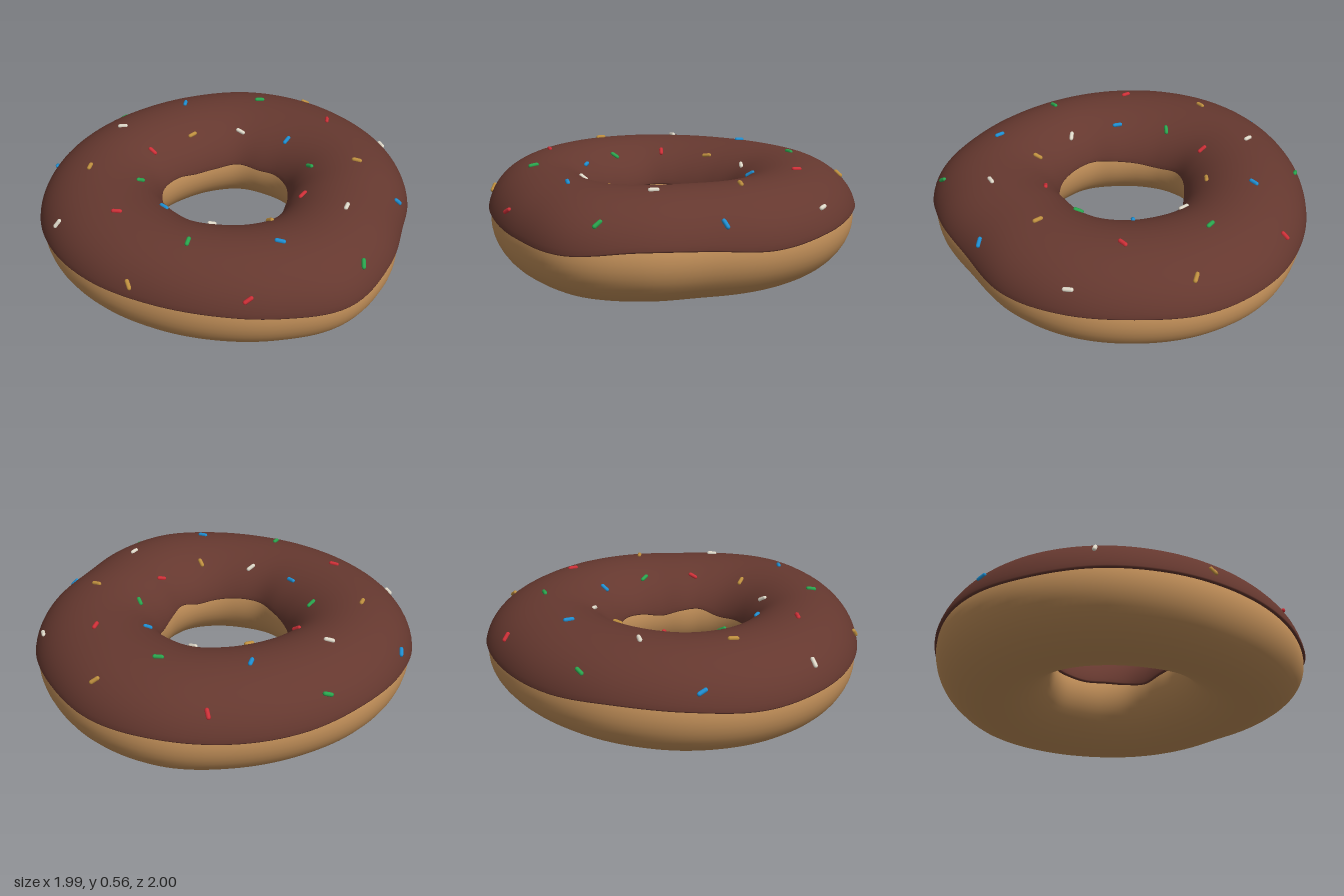
import * as THREE from 'three';

// Ring radii and icing edge heights, one value every 20 degrees from +x towards +z
const OUTER = [0.995, 0.965, 0.93, 0.975, 1.01, 0.965, 0.935, 0.935, 0.965,
  1.0, 1.02, 1.015, 1.005, 1.0, 1.015, 1.045, 1.04, 1.015];
const INNER = [0.33, 0.305, 0.29, 0.305, 0.325, 0.335, 0.337, 0.345, 0.33,
  0.337, 0.36, 0.375, 0.355, 0.345, 0.352, 0.362, 0.345, 0.34];
const EDGE = [0.305, 0.285, 0.31, 0.322, 0.29, 0.3, 0.312, 0.314, 0.308,
  0.3, 0.29, 0.312, 0.318, 0.295, 0.295, 0.312, 0.305, 0.317];
const TAU = Math.PI * 2;
const ICING = { y: 0.27, b: 0.275 };
const DOUGH = { y: 0.263, b: 0.263 };

// Smooth periodic lookup (Catmull-Rom)
function sample(table, theta) {
  const n = table.length;
  const s = (((theta / TAU) % 1) + 1) % 1 * n;
  const i = Math.floor(s), t = s - i;
  const [p, q, r, w] = [-1, 0, 1, 2].map((k) => table[(i + k + n) % n]);
  return q + 0.5 * t * (r - p + t * (2 * p - 5 * q + 4 * r - w + t * (3 * (q - r) + w - p)));
}

function ringPoint(theta, phi, body, off) {
  const ro = sample(OUTER, theta), ri = sample(INNER, theta);
  const rho = (ro + ri) / 2 + ((ro - ri) / 2 + off) * Math.cos(phi);
  const y = body.y + (body.b + (body === ICING ? off : 0)) * Math.sin(phi);
  return [rho * Math.cos(theta), y, rho * Math.sin(theta)];
}

// Sweeps a cross-section around the ring; section(theta) returns a list of points
function sweep(section, closed) {
  const N = 144, pos = [], index = [];
  let m = 0;
  for (let i = 0; i < N; i++) {
    const pts = section((i / N) * TAU);
    m = pts.length;
    pts.forEach((p) => pos.push(...p));
  }
  for (let i = 0; i < N; i++) {
    for (let j = 0; j < (closed ? m : m - 1); j++) {
      const a = i * m + j, b = i * m + (j + 1) % m;
      const c = ((i + 1) % N) * m + j, d = ((i + 1) % N) * m + (j + 1) % m;
      index.push(a, b, c, b, d, c);
    }
  }
  const g = new THREE.BufferGeometry();
  g.setAttribute('position', new THREE.Float32BufferAttribute(pos, 3));
  g.setIndex(index);
  g.computeVertexNormals();
  return g;
}

function doughSection(theta) {
  const pts = [];
  for (let j = 0; j < 48; j++) pts.push(ringPoint(theta, (j / 48) * TAU, DOUGH, -0.015));
  return pts;
}

// Icing cap with a rounded lip tucked into the dough on both sides
function icingSection(theta) {
  const phi0 = Math.asin((sample(EDGE, theta) - ICING.y) / ICING.b);
  const phi1 = Math.PI - phi0;
  const lip = [[0.02, -0.028], [0, -0.012], [0.005, -0.004], [0.03, 0]];
  const pts = lip.map(([d, off]) => ringPoint(theta, phi0 + d, ICING, off));
  for (let j = 1; j < 32; j++) {
    pts.push(ringPoint(theta, phi0 + 0.03 + (j / 32) * (phi1 - phi0 - 0.06), ICING, 0));
  }
  lip.reverse().forEach(([d, off]) => pts.push(ringPoint(theta, phi1 - d, ICING, off)));
  return pts;
}

// Height of the icing top above a point in plan
function icingHeight(x, z) {
  const theta = Math.atan2(z, x);
  const ro = sample(OUTER, theta), ri = sample(INNER, theta);
  const u = (Math.hypot(x, z) - (ro + ri) / 2) / ((ro - ri) / 2);
  return ICING.y + ICING.b * Math.sqrt(Math.max(0.02, 1 - u * u));
}

// Sprinkles by colour: x, z, heading in degrees seen from above (clockwise from +x)
const SPRINKLES = {
  red: [[0.28, -0.92, 85], [-0.30, -0.385, 50], [0.69, -0.215, -60], [-0.68, 0.155, 35],
    [0.265, 0.32, -20], [-0.295, 0.865, 5]],
  green: [[-0.295, -0.893, 0], [0.44, -0.578, 22], [-0.455, -0.145, -20], [0.425, 0.09, 80],
    [-0.45, 0.52, -52], [0.295, 0.885, -65]],
  blue: [[0.027, -0.717, -60], [-0.786, -0.583, -70], [0.428, -0.193, -18], [-0.428, 0.134, 65],
    [0.727, 0.497, 5], [-0.053, 0.695, 40]],
  white: [[-0.39, -0.615, 28], [0.24, -0.406, 52], [-0.941, -0.018, 5], [0.941, -0.027, 88],
    [-0.257, 0.353, -10], [0.374, 0.572, -45]],
  gold: [[0.743, -0.578, 5], [-0.032, -0.465, -15], [-0.68, -0.289, -55], [0.631, 0.225, 42],
    [0.011, 0.455, 75], [-0.754, 0.519, 85]],
};

export function createModel() {
  const model = new THREE.Group();
  model.name = 'doughnut';
  const material = (name, color) => {
    const m = new THREE.MeshStandardMaterial({ color });
    m.name = name;
    return m;
  };
  const add = (name, geometry, mat, parent = model) => {
    const mesh = new THREE.Mesh(geometry, mat);
    mesh.name = name;
    parent.add(mesh);
    return mesh;
  };

  add('dough', sweep(doughSection, true), material('dough', 0xc4915a));
  add('icing', sweep(icingSection, false), material('chocolate', 0x65382f));

  // Sprinkles lie on the icing, tangent to its surface
  const colors = { red: 0xd03038, green: 0x2aa64e, blue: 0x1f90d4, white: 0xe2dccc, gold: 0xc0903f };
  const capsule = new THREE.CapsuleGeometry(0.011, 0.034, 3, 8);
  const up = new THREE.Vector3(0, 1, 0);
  const sprinkles = new THREE.Group();
  sprinkles.name = 'sprinkles';
  model.add(sprinkles);
  for (const [color, list] of Object.entries(SPRINKLES)) {
    const mat = material(color + ' sprinkle', colors[color]);
    list.forEach(([x, z, deg], i) => {
      const e = 0.004, a = THREE.MathUtils.degToRad(deg);
      const sx = (icingHeight(x + e, z) - icingHeight(x - e, z)) / (2 * e);
      const sz = (icingHeight(x, z + e) - icingHeight(x, z - e)) / (2 * e);
      const normal = new THREE.Vector3(-sx, 1, -sz).normalize();
      const c = Math.cos(a), s = Math.sin(a);
      const along = new THREE.Vector3(c, c * sx + s * sz, s).normalize();
      const mesh = add(`${color}Sprinkle${i + 1}`, capsule, mat, sprinkles);
      mesh.position.set(x, icingHeight(x, z), z).addScaledVector(normal, 0.003);
      mesh.quaternion.setFromUnitVectors(up, along);
    });
  }
  return model;
}
